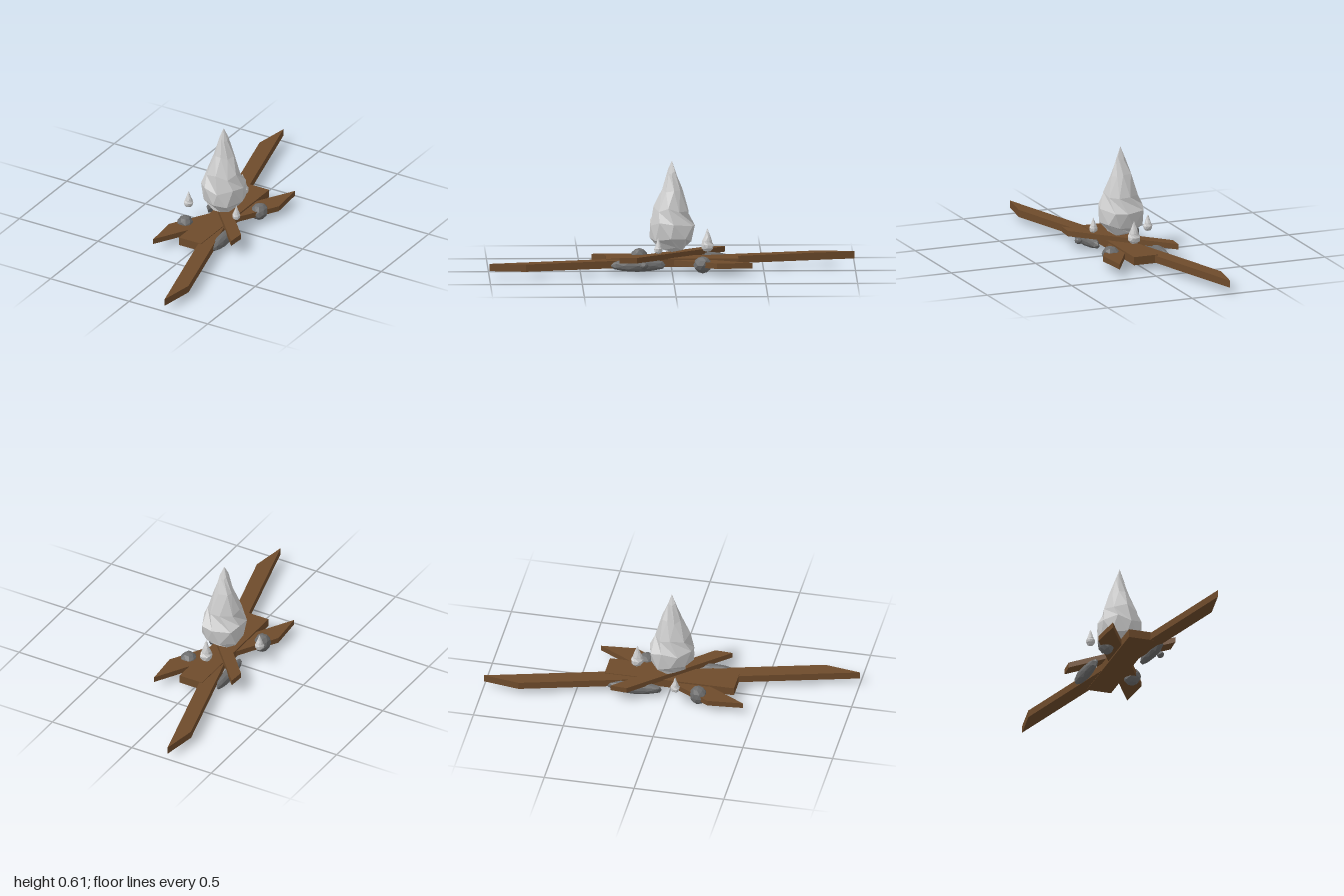
import * as THREE from 'three';

const wood = new THREE.MeshStandardMaterial({ color: 0x6e4b2b, flatShading: true });
const stoneMat = new THREE.MeshStandardMaterial({ color: 0x6c6c6c, flatShading: true });
const flameMat = new THREE.MeshStandardMaterial({ color: 0xcccccc, flatShading: true });

// Repeatable value in -1..1 that depends only on a position, so shared corners stay joined
function noise(x, y, z, seed) {
  const r = (v) => Math.round(v * 1000) / 1000 + 0;
  return Math.sin(r(x) * 12.9 + r(y) * 78.2 + r(z) * 37.7 + seed * 4.1);
}

function addMesh(group, name, geometry, material) {
  const mesh = new THREE.Mesh(geometry, material);
  mesh.name = name;
  group.add(mesh);
  return mesh;
}

// Flat board from its plan outline [x, z], between two heights
function plank(group, name, outline, bottom, top) {
  const shape = new THREE.Shape(outline.map(([x, z]) => new THREE.Vector2(x, z)));
  const geo = new THREE.ExtrudeGeometry(shape, { depth: top - bottom, bevelEnabled: false });
  geo.rotateX(Math.PI / 2).translate(0, top, 0);
  addMesh(group, name, geo, wood);
}

// Rough faceted stone
function stone(group, name, pos, size, seed, turn = 0) {
  const geo = new THREE.IcosahedronGeometry(1, 1);
  const p = geo.attributes.position;
  for (let i = 0; i < p.count; i++) {
    const x = p.getX(i), y = p.getY(i), z = p.getZ(i);
    const k = 1 + 0.06 * noise(x, y, z, seed);
    p.setXYZ(i, x * k * size[0], y * k * size[1], z * k * size[2]);
  }
  geo.computeVertexNormals();
  const mesh = addMesh(group, name, geo, stoneMat);
  mesh.position.set(...pos);
  mesh.rotation.y = turn;
}

// Faceted drop: radius and height as fractions of the widest radius and full height
const DROP = [[0, 0], [0.6, 0.055], [0.93, 0.15], [1.02, 0.32], [0.76, 0.48], [0.46, 0.68], [0.19, 0.88], [0, 1]];

function flame(group, name, pos, radius, height, seed) {
  const geo = new THREE.LatheGeometry(DROP.map(([r, y]) => new THREE.Vector2(r, y)), 9);
  const p = geo.attributes.position;
  for (let i = 0; i < p.count; i++) {
    const x = p.getX(i), y = p.getY(i), z = p.getZ(i);
    const ring = i % DROP.length;
    const twist = (ring % 2) * Math.PI / 9 + 0.12 * noise(x, y, z, seed + 3);
    const k = radius * (1 + 0.06 * noise(x, y, z, seed));
    const lift = ring > 0 && ring < DROP.length - 1 ? 0.025 * noise(z, y, x, seed) : 0;
    p.setXYZ(i,
      k * (x * Math.cos(twist) + z * Math.sin(twist)),
      height * (y + lift),
      k * (z * Math.cos(twist) - x * Math.sin(twist)));
  }
  geo.computeVertexNormals();
  addMesh(group, name, geo, flameMat).position.set(...pos);
}

export function createModel() {
  const model = new THREE.Group();
  model.name = 'campfire';

  // Crossed planks with slanted ends
  plank(model, 'longPlank', [[-0.225, -1], [0.257, 0.8], [0.225, 1], [-0.257, -0.8]], 0.035, 0.075);
  plank(model, 'centrePlank', [[-0.07, -0.36], [0.07, -0.36], [0.07, 0.36], [-0.07, 0.36]], 0.033, 0.079);
  plank(model, 'crossPlank', [[0.188, -0.435], [0.204, -0.24], [-0.188, 0.435], [-0.204, 0.24]], 0.04, 0.07);
  plank(model, 'topPlank', [[-0.22, -0.295], [0.226, 0.195], [0.22, 0.29], [-0.226, -0.205]], 0.075, 0.105);

  // Stones: round ones, long ones beside the boards, and a pebble
  stone(model, 'frontStone', [-0.14, 0.055, 0.175], [0.047, 0.052, 0.047], 1);
  stone(model, 'backStone', [0.125, 0.052, -0.165], [0.047, 0.05, 0.05], 2);
  stone(model, 'leftLongStone', [0.12, 0.05, 0.19], [0.032, 0.037, 0.155], 3, 0.06);
  stone(model, 'rightLongStone', [-0.135, 0.05, -0.18], [0.03, 0.037, 0.155], 4, 0.08);
  stone(model, 'pebble', [0.18, 0.055, 0.155], [0.02, 0.02, 0.022], 5);

  // Main flame and small sparks around it
  flame(model, 'mainFlame', [-0.002, 0.105, 0], 0.127, 0.503, 1);
  flame(model, 'rightSpark', [-0.19, 0.095, 0.058], 0.025, 0.095, 2);
  flame(model, 'leftSpark', [0.125, 0.113, 0.077], 0.022, 0.088, 3);
  flame(model, 'backSpark', [0, 0.105, -0.193], 0.035, 0.13, 4);

  return model;
}
